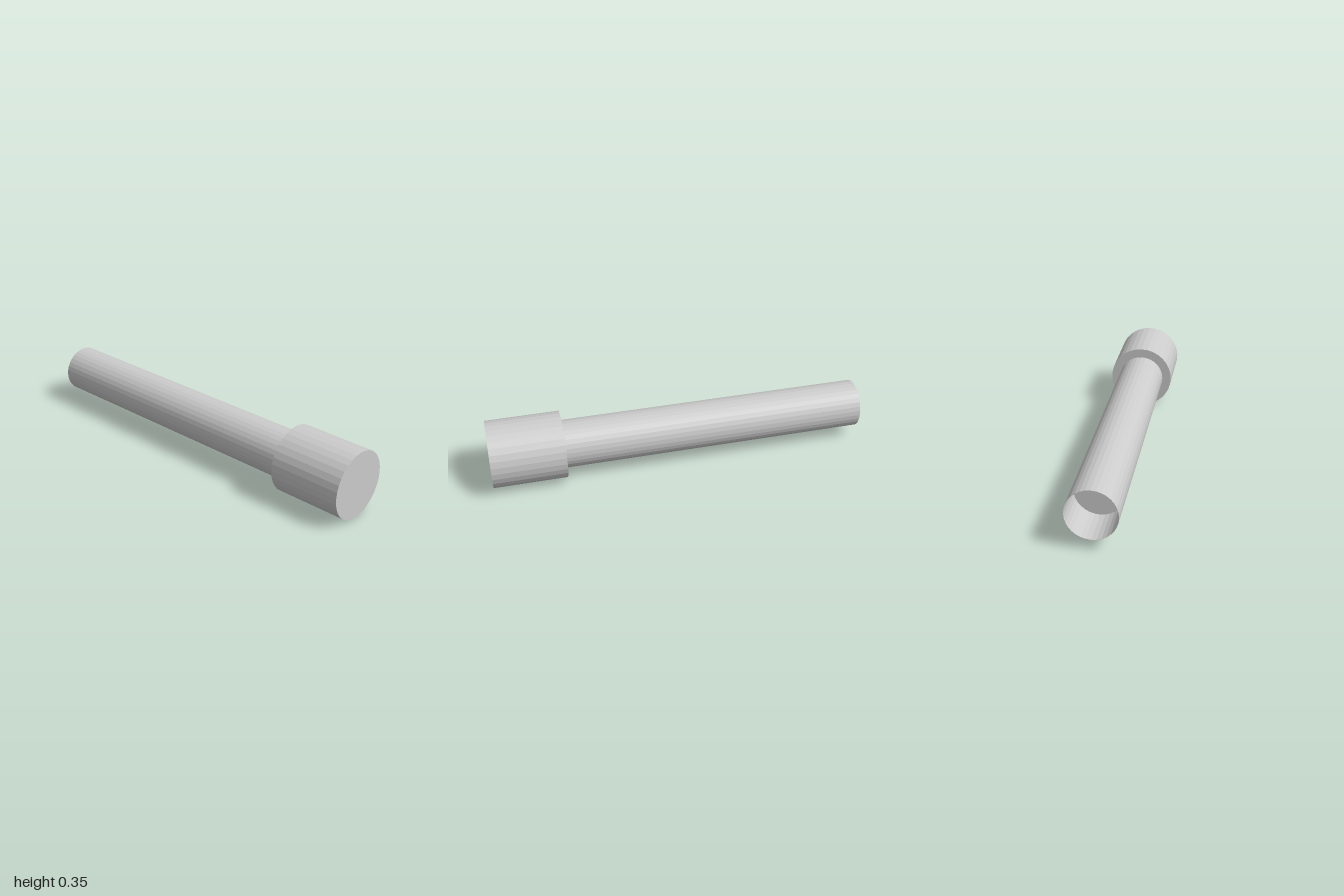
import * as THREE from 'three';

const SIDES = 32;
const CENTRE_Y = 0.176;

export function createModel() {
  const group = new THREE.Group();
  const material = new THREE.MeshStandardMaterial({ color: 0xcccccc, flatShading: true });

  // Turns a [radius, x] profile around the long axis
  const addTurned = (name, profile) => {
    const points = profile.map(([r, x]) => new THREE.Vector2(r, x));
    const geometry = new THREE.LatheGeometry(points, SIDES);
    geometry.rotateZ(-Math.PI / 2);
    geometry.translate(0, CENTRE_Y, 0);
    const mesh = new THREE.Mesh(geometry, material);
    mesh.name = name;
    group.add(mesh);
  };

  // Shaft with a thin-walled blind bore in its free end
  addTurned('shaft', [
    [0, -0.78], [0.125, -0.78], [0.125, -1], [0.126, -1], [0.126, 0.615],
  ]);

  // Solid cylindrical head
  addTurned('head', [
    [0, 0.615], [0.176, 0.615], [0.176, 1], [0, 1],
  ]);

  return group;
}
